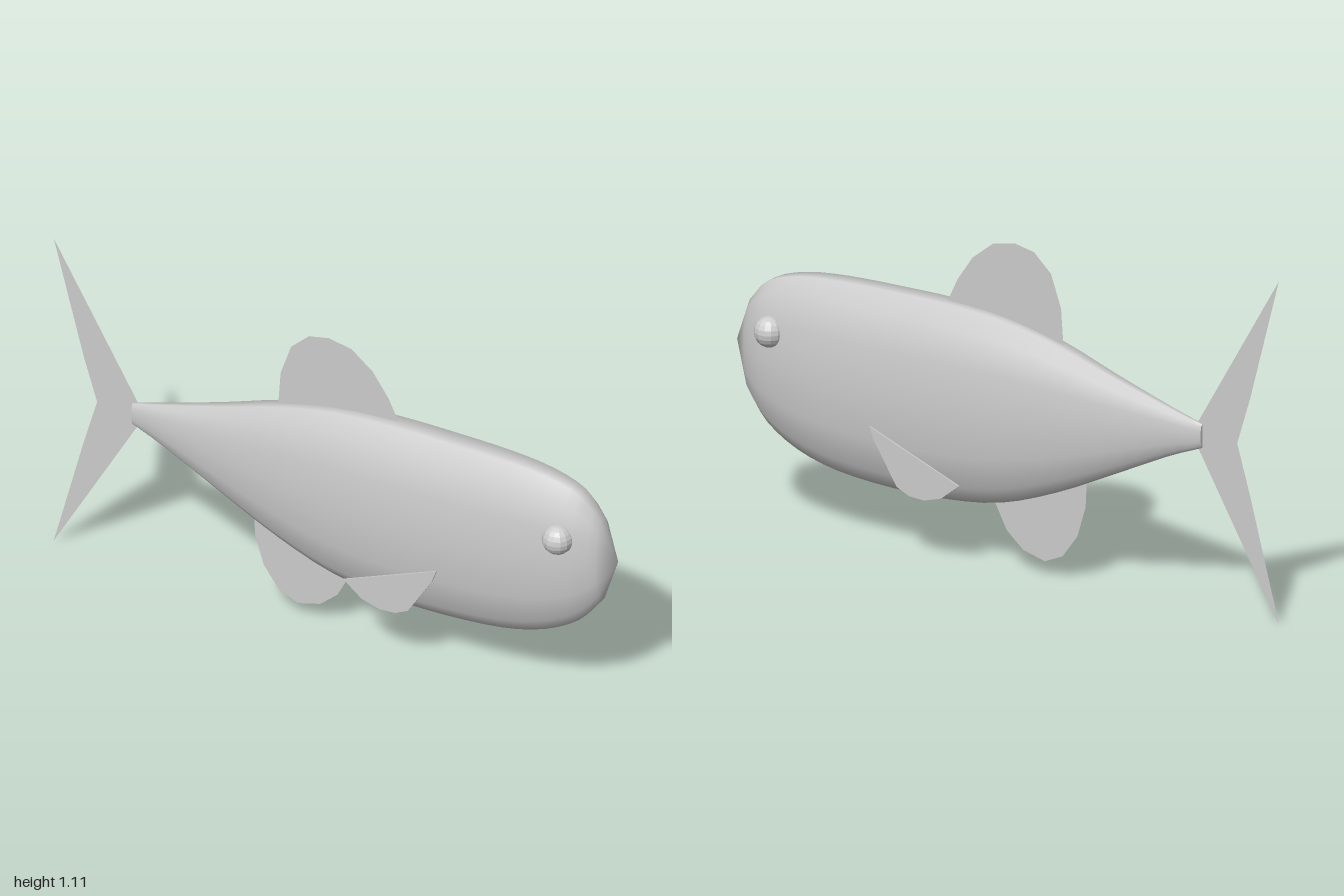
import * as THREE from 'three';

const smooth = new THREE.MeshStandardMaterial({ color: 0xcccccc });
const flat = new THREE.MeshStandardMaterial({ color: 0xcccccc, flatShading: true });
const thin = new THREE.MeshStandardMaterial({ color: 0xcccccc, side: THREE.DoubleSide });

// Body stations from tail to head: x, top, bottom, half width
const STATIONS = [
  [-0.72, 0.598, 0.522, 0.012], [-0.6, 0.632, 0.475, 0.03], [-0.4, 0.695, 0.38, 0.058],
  [-0.2, 0.763, 0.288, 0.086], [0, 0.81, 0.22, 0.107], [0.2, 0.828, 0.196, 0.117],
  [0.4, 0.831, 0.196, 0.117], [0.6, 0.829, 0.214, 0.112], [0.75, 0.815, 0.255, 0.1],
  [0.865, 0.778, 0.322, 0.08], [0.935, 0.703, 0.405, 0.048],
];

// One quarter of the fourteen-sided cross-section: z, y
const QUARTER = [[0.28, 1], [0.67, 0.82], [0.92, 0.47], [1, 0]];

function crossSection() {
  const right = [...QUARTER, ...QUARTER.slice(0, 3).reverse().map(([z, y]) => [z, -y])];
  return [...right, ...right.map(([z, y]) => [-z, -y])];
}

function bodyGeometry() {
  const spline = (f) => new THREE.CatmullRomCurve3(STATIONS.map(f), false, 'catmullrom', 0.5);
  const outline = spline(([x, top, bottom]) => new THREE.Vector3(x, top, bottom));
  const widths = spline(([x, , , w]) => new THREE.Vector3(x, w, 0));
  const ring = crossSection();
  const n = ring.length;
  const steps = (STATIONS.length - 1) * 3;
  const positions = [];
  const index = [];
  for (let i = 0; i <= steps; i++) {
    const p = outline.getPoint(i / steps);
    const w = widths.getPoint(i / steps).y;
    for (const [z, y] of ring) {
      positions.push(p.x, (p.y + p.z) / 2 + (y * (p.y - p.z)) / 2, z * w);
    }
  }
  for (let i = 0; i < steps; i++) {
    for (let j = 0; j < n; j++) {
      const a = i * n + j, b = i * n + (j + 1) % n;
      index.push(a, b, a + n, b, b + n, a + n);
    }
  }
  // Pointed nose
  const nose = positions.length / 3;
  positions.push(0.99, 0.563, 0);
  for (let j = 0; j < n; j++) index.push(steps * n + j, steps * n + (j + 1) % n, nose);
  // Flat tail end, with its own corners for a crisp edge
  const cap = nose + 1;
  positions.push(...positions.slice(0, n * 3));
  for (let j = 1; j < n - 1; j++) index.push(cap, cap + j + 1, cap + j);

  const geometry = new THREE.BufferGeometry();
  geometry.setAttribute('position', new THREE.Float32BufferAttribute(positions, 3));
  geometry.setIndex(index);
  geometry.computeVertexNormals();
  return geometry;
}

const finShape = (points) => new THREE.Shape(points.map(([x, y]) => new THREE.Vector2(x, y)));

export function createModel() {
  const group = new THREE.Group();
  const add = (name, geometry, material) => {
    const mesh = new THREE.Mesh(geometry, material);
    mesh.name = name;
    group.add(mesh);
    return mesh;
  };

  add('body', bodyGeometry(), smooth);

  // Sheet fins on the centre line
  const sheets = {
    tailFin: [[-1, 1.113], [-0.895, 0.715], [-0.847, 0.56], [-0.895, 0.395], [-1, 0],
      [-0.7, 0.525], [-0.7, 0.598]],
    dorsalFin: [[-0.21, 0.74], [-0.2, 0.877], [-0.163, 0.984], [-0.1, 1.043], [-0.03, 1.058],
      [0.05, 1.043], [0.125, 0.984], [0.18, 0.904], [0.22, 0.82]],
    analFin: [[-0.295, 0.345], [-0.29, 0.25], [-0.26, 0.15], [-0.205, 0.075], [-0.14, 0.047],
      [-0.06, 0.07], [0, 0.123], [0.05, 0.22]],
  };
  for (const [name, points] of Object.entries(sheets)) {
    add(name, new THREE.ShapeGeometry(finShape(points)), thin);
  }

  // Thin side fins and bulging eyes, one on each flank
  const sideFin = new THREE.ExtrudeGeometry(finShape([[0.093, 0.283], [0.157, 0.232],
    [0.22, 0.214], [0.275, 0.218], [0.32, 0.24], [0.404, 0.374], [0.42, 0.417]]),
  { depth: 0.006, bevelEnabled: false });
  sideFin.translate(0, 0, -0.003);
  const eye = new THREE.SphereGeometry(0.05, 14, 10);
  for (const [side, s] of [['left', 1], ['right', -1]]) {
    add(side + 'SideFin', sideFin, flat).position.z = s * 0.125;
    add(side + 'Eye', eye, flat).position.set(0.82, 0.638, s * 0.077);
  }
  return group;
}
